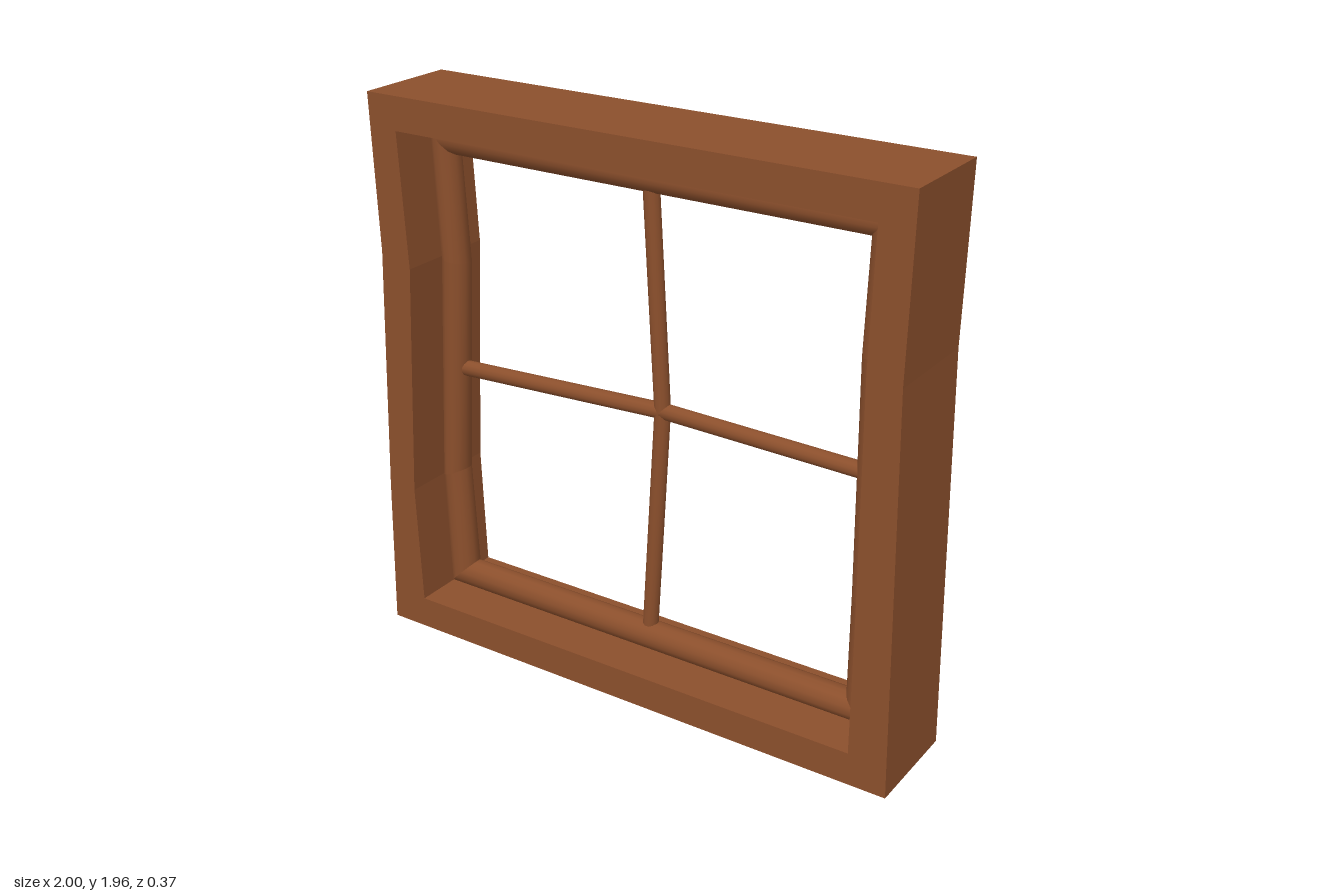
import * as THREE from 'three';

const DEPTH = 0.37, SIDES = 12;

// Outlines, counter-clockwise from the bottom left corner; the sides are bent
const OUTER = [[-1, 0], [1, 0], [0.988, 0.55], [0.97, 1.38], [0.98, 1.96], [-0.973, 1.96], [-0.954, 1.42], [-0.987, 0.55]];
const REBATE = [[-0.861, 0.115], [0.864, 0.115], [0.864, 0.55], [0.855, 1.4], [0.865, 1.845], [-0.861, 1.845], [-0.836, 1.38], [-0.877, 0.55]];
const OPENING = [[-0.76, 0.215], [0.764, 0.215], [0.764, 0.57], [0.754, 1.37], [0.765, 1.743], [-0.76, 1.743], [-0.738, 1.37], [-0.781, 0.59]];

const toPoints = (list) => list.map(([x, y]) => new THREE.Vector2(x, y));

// Round bar between two stations; each station is a pair of right and left edge points
function barGeometry([r0, l0], [r1, l1], halfDepth) {
  const positions = [], index = [];
  for (const [r, l] of [[r0, l0], [r1, l1]]) {
    for (let k = 0; k < SIDES; k++) {
      const a = ((k + 0.5) / SIDES) * Math.PI * 2;
      const t = 0.5 + 0.5 * Math.cos(a) / Math.cos(Math.PI / SIDES);
      positions.push(r[0] + (l[0] - r[0]) * t, r[1] + (l[1] - r[1]) * t, Math.sin(a) * halfDepth);
    }
  }
  for (let k = 0; k < SIDES; k++) {
    const n = (k + 1) % SIDES;
    index.push(k, n, SIDES + n, k, SIDES + n, SIDES + k);
  }
  const geometry = new THREE.BufferGeometry();
  geometry.setAttribute('position', new THREE.Float32BufferAttribute(positions, 3));
  geometry.setIndex(index);
  geometry.computeVertexNormals();
  return geometry;
}

export function createModel() {
  const model = new THREE.Group();
  model.name = 'window';
  const wood = new THREE.MeshStandardMaterial({ color: 0x8b4f2c });
  wood.name = 'brown wood';

  const add = (parent, name, geometry) => {
    const mesh = new THREE.Mesh(geometry, wood);
    mesh.name = name;
    parent.add(mesh);
  };
  const addBars = (name, stations, halfDepth) => {
    const group = new THREE.Group();
    group.name = name;
    for (let i = 0; i < stations.length - 1; i++) {
      add(group, name + 'Section', barGeometry(stations[i], stations[i + 1], halfDepth));
    }
    model.add(group);
  };

  // Deep outer frame
  const shape = new THREE.Shape(toPoints(OUTER));
  shape.holes.push(new THREE.Path(toPoints(REBATE)));
  const frame = new THREE.ExtrudeGeometry(shape, { depth: DEPTH, bevelEnabled: false });
  frame.translate(0, 0, -DEPTH / 2);
  add(model, 'outerFrame', frame);

  // Rounded sash with mitred corners, lining the frame
  const ring = REBATE.map((p, i) => [p, OPENING[i]]);
  addBars('sash', [...ring, ring[0]], 0.05);

  // Crooked glazing bars crossing near the middle
  const h = 0.027;
  const upright = [[0, 0.165], [0.048, 1.016], [0.002, 1.793]];
  addBars('uprightBar', upright.map(([x, y]) => [[x + h, y], [x - h, y]]), h);
  const cross = [[-0.81, 0.977], [0.048, 1.016], [0.81, 0.997]];
  addBars('crossBar', cross.map(([x, y]) => [[x, y - h], [x, y + h]]), h);

  return model;
}
